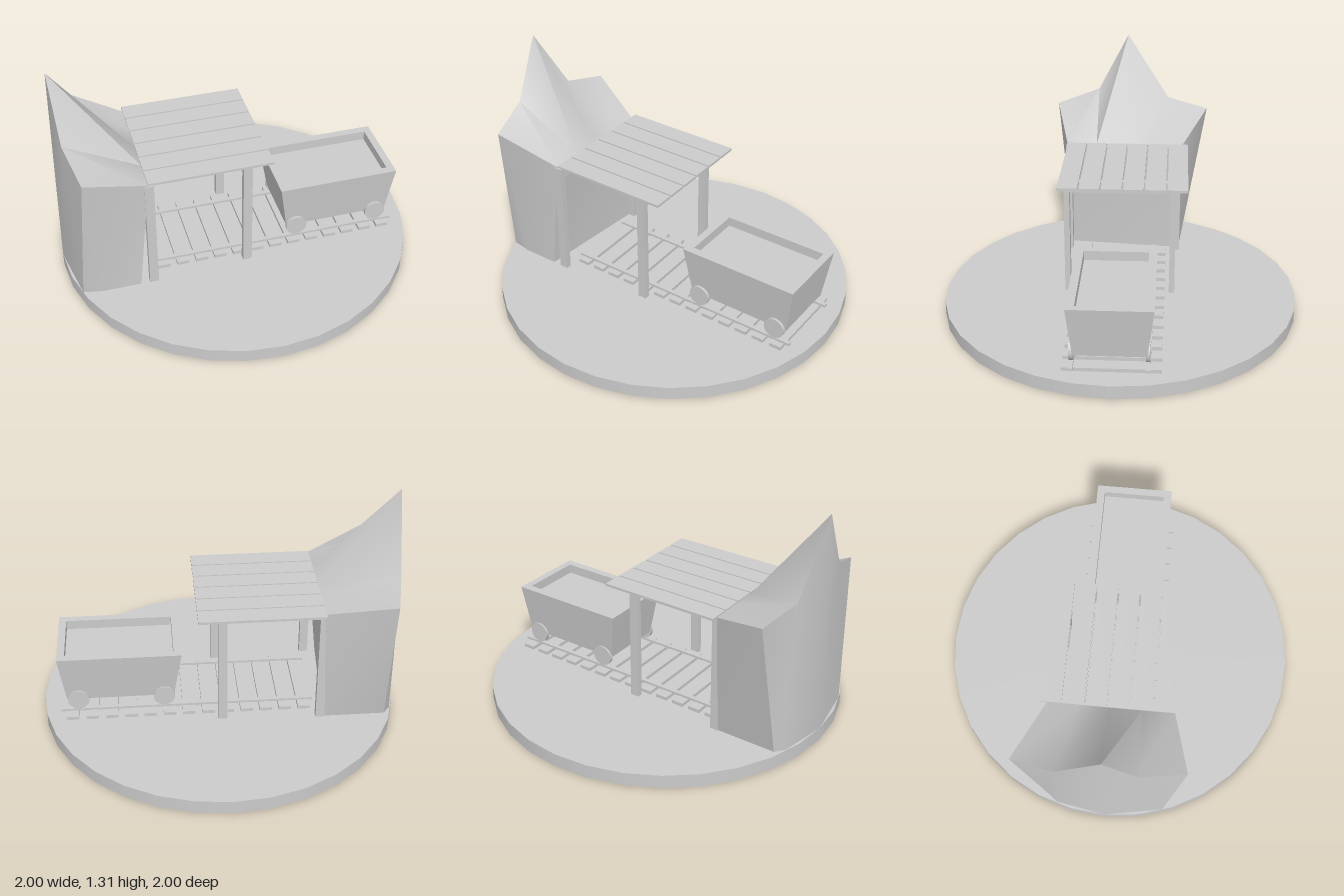
import * as THREE from 'three';
import { toCreasedNormals } from 'three/addons/utils/BufferGeometryUtils.js';

const grey = new THREE.MeshStandardMaterial({ color: 0xcccccc });

function add(parent, name, geometry, x = 0, y = 0, z = 0) {
  const mesh = new THREE.Mesh(geometry, grey);
  mesh.name = name;
  mesh.position.set(x, y, z);
  parent.add(mesh);
  return mesh;
}

// Box given by its extents on each axis
function addBox(parent, name, [x0, x1], [y0, y1], [z0, z1]) {
  return add(parent, name, new THREE.BoxGeometry(x1 - x0, y1 - y0, z1 - z0),
    (x0 + x1) / 2, (y0 + y1) / 2, (z0 + z1) / 2);
}

// Geometry from four-cornered faces, smooth below the crease angle
function fromQuads(quads, crease) {
  const points = quads.flatMap(([a, b, c, d]) => [a, b, c, a, c, d]).flat();
  const geometry = new THREE.BufferGeometry();
  geometry.setAttribute('position', new THREE.Float32BufferAttribute(points, 3));
  return toCreasedNormals(geometry, crease);
}

function group(parent, name) {
  const g = new THREE.Group();
  g.name = name;
  parent.add(g);
  return g;
}

// Peaked rock: walls from a foot line up to a jagged rim, and a slope down to the roof
function rockGeometry() {
  const foot = [[-0.62, 0.35], [-0.83, 0.35], [-0.94, 0.33], [-1, 0],
    [-0.95, -0.28], [-0.91, -0.33], [-0.56, -0.33]].map(([x, z]) => [x, 0.075, z]);
  const rim = [[-0.55, 0.755, 0.345], [-0.9, 0.89, 0.43], [-0.955, 0.97, 0.18], [-0.98, 1.31, 0],
    [-0.955, 0.92, -0.25], [-0.9, 0.87, -0.49], [-0.55, 0.755, -0.34]];
  const brow = [0.345, 0.17, 0, -0.17, -0.34].map((z) => [-0.55, 0.755, z]);
  const quads = [];
  for (let i = 0; i < 6; i++) quads.push([foot[i + 1], foot[i], rim[i], rim[i + 1]]);
  for (let i = 0; i < 4; i++) quads.push([brow[i], brow[i + 1], rim[i + 2], rim[i + 1]]);
  quads.push([foot[0], foot[6], rim[6], rim[0]]);
  return fromQuads(quads, 0.9);
}

// Tapered open tub: outside, rim, inside and the two floors
function tubGeometry() {
  const ring = (x0, x1, y, z0, z1) => [[x0, y, z1], [x1, y, z1], [x1, y, z0], [x0, y, z0]];
  const rings = [
    ring(0.265, 0.865, 0.165, -0.18, 0.2),
    ring(0.22, 0.905, 0.45, -0.215, 0.23),
    ring(0.262, 0.863, 0.45, -0.17, 0.185),
    ring(0.262, 0.863, 0.395, -0.17, 0.185),
  ];
  const quads = [[...rings[0]].reverse(), rings[3]];
  for (let r = 0; r < 3; r++) {
    for (let i = 0; i < 4; i++) {
      const j = (i + 1) % 4;
      quads.push([rings[r][i], rings[r][j], rings[r + 1][j], rings[r + 1][i]]);
    }
  }
  return fromQuads(quads, 0.2);
}

export function createModel() {
  const model = new THREE.Group();
  model.name = 'mineScene';

  add(model, 'groundDisc', new THREE.CylinderGeometry(1, 1, 0.075, 32), 0, 0.0375, 0);
  add(model, 'rock', rockGeometry());

  // Shelter: two post-and-lintel frames under a plank roof
  const shelter = group(model, 'shelter');
  for (const [x, zRight, zLeft] of [[-0.545, -0.32, 0.335], [0, -0.295, 0.3]]) {
    const xs = [x - 0.025, x + 0.025];
    for (const z of [zRight, zLeft]) {
      addBox(shelter, 'post', xs, [0.075, 0.75], [z - 0.016, z + 0.016]);
    }
    addBox(shelter, 'lintel', xs, [0.69, 0.75], [zRight + 0.016, zLeft - 0.016]);
  }
  for (let i = 0; i < 6; i++) {
    const z = -0.375 + i * 0.121;
    addBox(shelter, 'roofPlank', [-0.55, 0.135], [0.748, 0.762], [z, z + 0.112]);
  }

  // Track: sleepers and two rails
  const track = group(model, 'track');
  for (let i = 0; i < 13; i++) {
    const x = 0.835 - i * 0.1085;
    addBox(track, 'sleeper', [x - 0.035, x + 0.035], [0.075, 0.095], [-0.255, 0.26]);
  }
  const sideZ = [-0.185, 0.21];
  for (const z of sideZ) {
    addBox(track, 'rail', [-0.52, 0.9], [0.093, 0.108], [z - 0.012, z + 0.012]);
  }

  // Mine cart
  const cart = group(model, 'cart');
  add(cart, 'tub', tubGeometry());
  const wheel = new THREE.CylinderGeometry(0.06, 0.06, 0.022, 32).rotateX(Math.PI / 2);
  for (const x of [0.32, 0.8]) {
    for (const z of sideZ) add(cart, 'wheel', wheel, x, 0.167, z);
  }
  return model;
}
